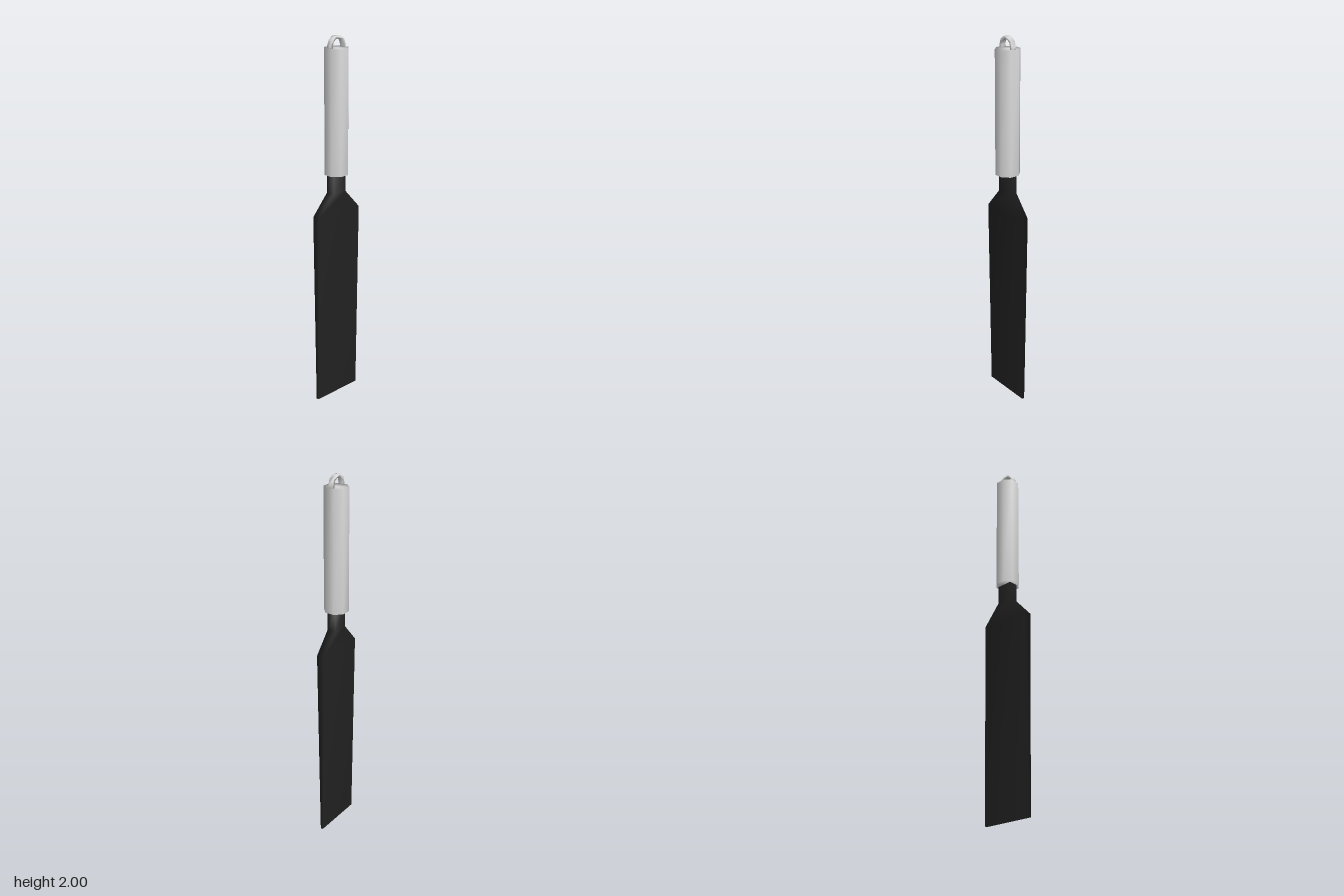
import * as THREE from 'three';
import { mergeVertices } from 'three/addons/utils/BufferGeometryUtils.js';

// Share corners so the shading runs smoothly over the whole part
function smooth(geometry) {
  geometry.deleteAttribute('uv');
  geometry.deleteAttribute('normal');
  const merged = mergeVertices(geometry, 1e-4);
  merged.computeVertexNormals();
  return merged;
}

export function createModel() {
  const group = new THREE.Group();
  group.name = 'spatula';
  const black = new THREE.MeshStandardMaterial({ color: 0x222222 });
  black.name = 'matte black';
  const silver = new THREE.MeshStandardMaterial({ color: 0xdadada });
  silver.name = 'light grey';

  const add = (name, geometry, material) => {
    const mesh = new THREE.Mesh(smooth(geometry), material);
    mesh.name = name;
    mesh.position.z = -0.002;
    group.add(mesh);
  };

  // Tapering blade with sloped shoulders and neck: [height, half width, half thickness]
  const rows = [[0, 0.145, 0.007], [1.08, 0.145, 0.021], [1.19, 0.043, 0.025], [1.3, 0.043, 0.025]];
  const blade = new THREE.BoxGeometry(2, 3, 2, 1, 3, 1);
  const p = blade.attributes.position;
  for (let i = 0; i < p.count; i++) {
    const [y, w, t] = rows[Math.round(p.getY(i) + 1.5)];
    p.setXYZ(i, p.getX(i) * w, y, p.getZ(i) * t);
  }
  add('blade', blade, black);

  // Eight-sided handle with flats facing front and sides
  const handle = new THREE.CylinderGeometry(0.065, 0.065, 0.65, 8, 1, false, Math.PI / 8);
  handle.translate(0, 1.615, 0);
  add('handle', handle, silver);

  // Hanging loop: a faceted arch of square section
  const arch = (r, h) => {
    const points = [[-r, 1.93]];
    for (let i = 0; i <= 5; i++) {
      const a = Math.PI * (1 - i / 5);
      points.push([r * Math.cos(a), 1.955 + h * Math.sin(a) / Math.sin(Math.PI * 0.4)]);
    }
    points.push([r, 1.93]);
    return points.map(([x, y]) => new THREE.Vector2(x, y));
  };
  const shape = new THREE.Shape([...arch(0.051, 0.045), ...arch(0.035, 0.031).reverse()]);
  const loop = new THREE.ExtrudeGeometry(shape, { depth: 0.024, bevelEnabled: false });
  loop.translate(0, 0, -0.012);
  add('hangingLoop', loop, silver);

  return group;
}
